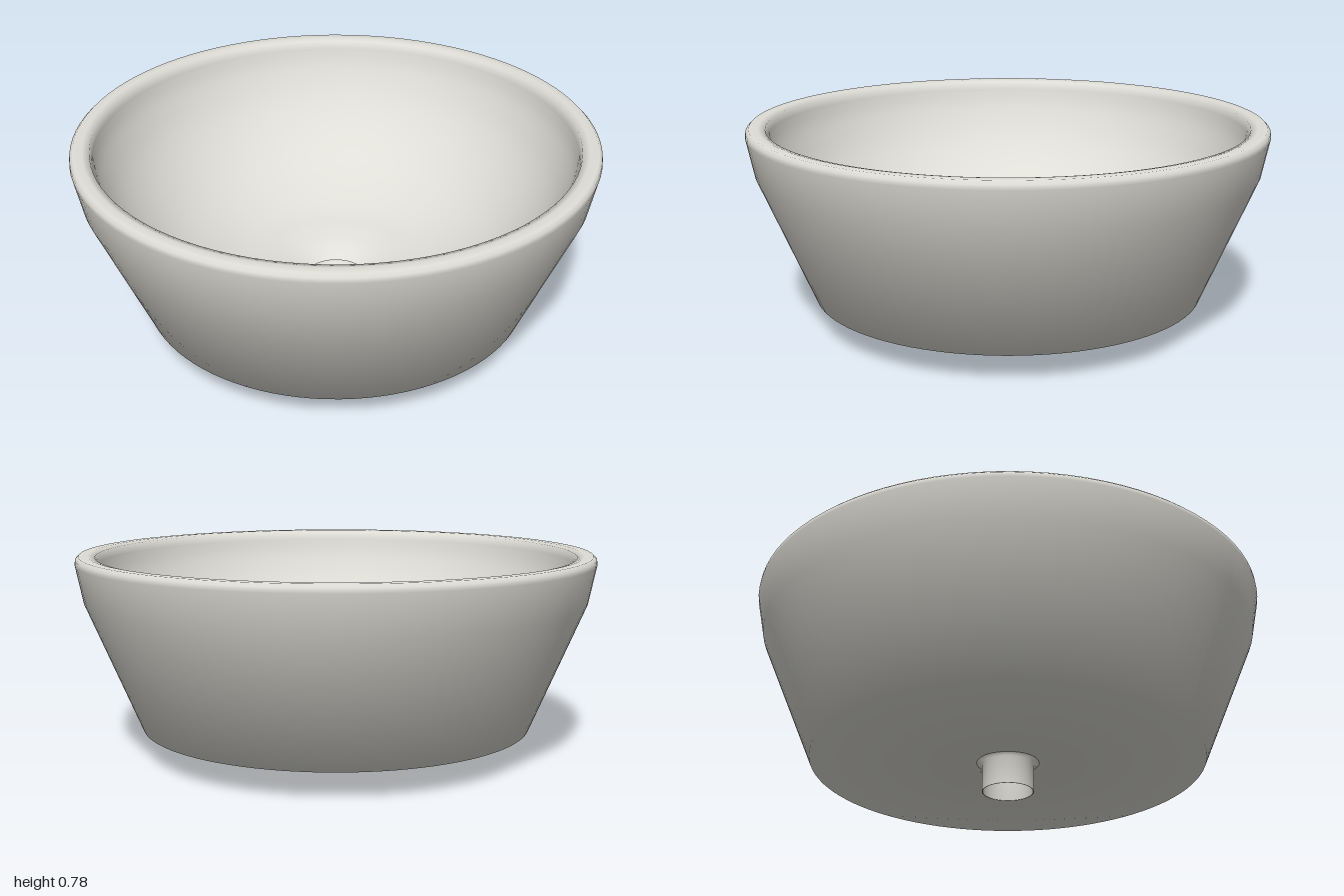
import * as THREE from 'three';

const ceramic = new THREE.MeshStandardMaterial({ color: 0xdeddd6 });
ceramic.name = 'ceramic';

// Revolve a list of [radius, height] pairs about the y axis
function revolve(name, profile, segments) {
  const points = profile.map(([r, y]) => new THREE.Vector2(r, y));
  const mesh = new THREE.Mesh(new THREE.LatheGeometry(points, segments), ceramic);
  mesh.name = name;
  return mesh;
}

export function createModel() {
  const model = new THREE.Group();
  model.name = 'washBasin';

  // Dished inside of the bowl, from the rim down to the drain funnel
  const inside = new THREE.SplineCurve([
    [0.918, 0.74], [0.895, 0.66], [0.83, 0.535], [0.73, 0.415], [0.6, 0.31],
    [0.42, 0.222], [0.29, 0.188], [0.2, 0.158], [0.127, 0.11],
  ].map(([r, y]) => new THREE.Vector2(r, y))).getPoints(32).map((p) => [p.x, p.y]);

  // Bowl: underside dimpled at the drain, flared wall, rolled rim, inside
  model.add(revolve('bowl', [
    [0.1, 0.13], [0.125, 0.115], [0.18, 0.105], [0.76, 0.105],
    [0.97, 0.605], [0.999, 0.75], [0.997, 0.768], [0.985, 0.78],
    [0.95, 0.78], [0.924, 0.774], ...inside,
  ], 96));

  // Drain pipe, open from end to end, with a bevelled flange on top
  model.add(revolve('drainPipe', [
    [0.096, 0], [0.1, 0], [0.1, 0.11], [0.128, 0.12], [0.128, 0.132],
    [0.122, 0.137], [0.105, 0.134], [0.098, 0.125], [0.09, 0.115], [0.096, 0],
  ], 48));

  // Thin bar across the drain
  const bar = new THREE.Mesh(new THREE.BoxGeometry(0.15, 0.03, 0.014), ceramic);
  bar.name = 'drainBar';
  bar.position.y = 0.1;
  model.add(bar);

  return model;
}
